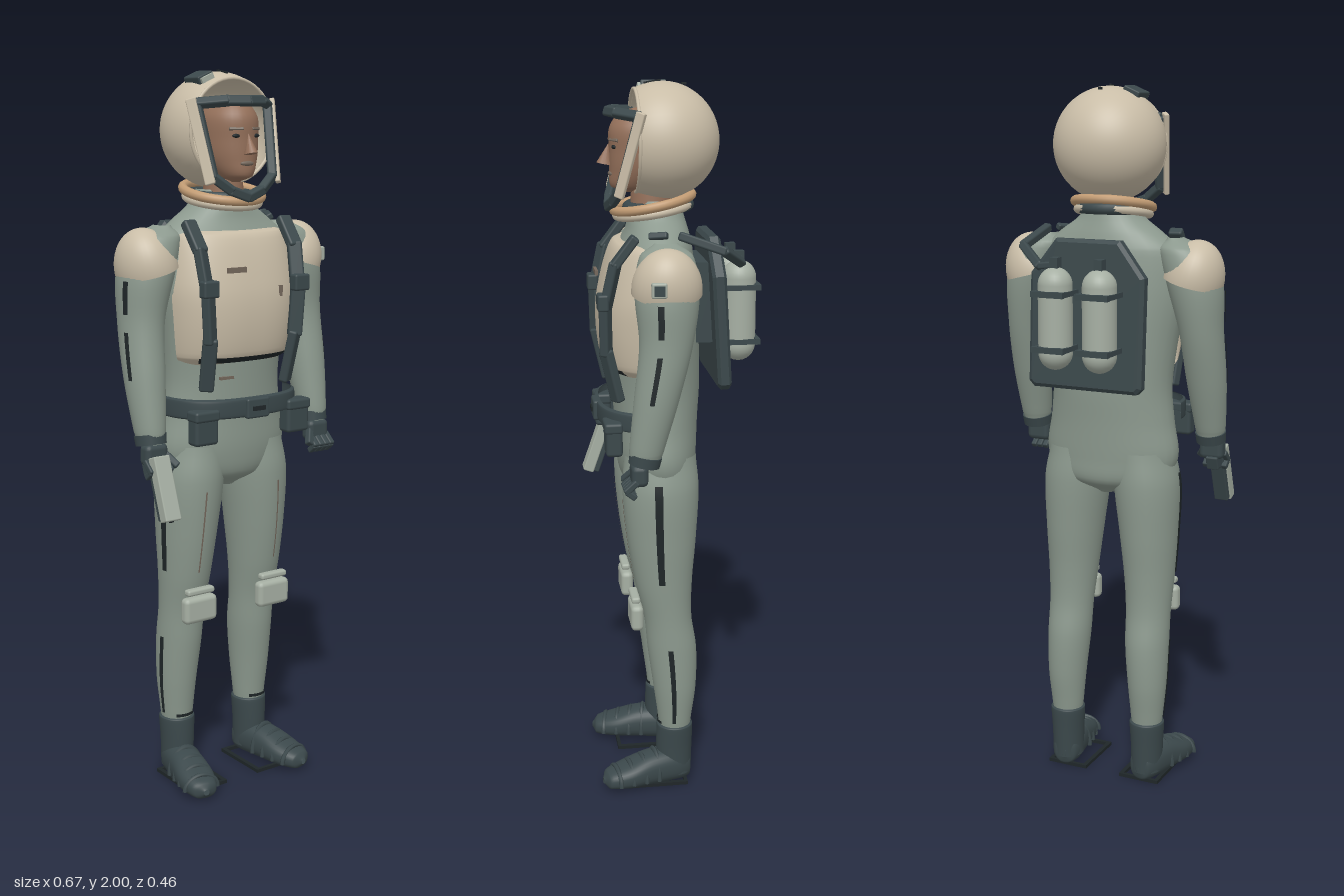
import * as THREE from 'three';
import { RoundedBoxGeometry } from 'three/addons/geometries/RoundedBoxGeometry.js';

const mat = (name, color, double) => {
  const m = new THREE.MeshStandardMaterial({ color });
  m.name = name;
  if (double) m.side = THREE.DoubleSide;
  return m;
};
const TAU = Math.PI * 2;

export function createModel() {
  const root = new THREE.Group();
  root.name = 'spacesuitFigure';
  const suit = mat('suitGreyGreen', 0x8c998e);
  const cream = mat('shellCream', 0xc9bda7, true);
  const dark = mat('gearDark', 0x3b484b, true);
  const skin = mat('skinBrown', 0x94705a);
  const tan = mat('collarTan', 0xc29c74);
  const light = mat('padLightGrey', 0xa6afa3);
  const black = mat('trimBlack', 0x1f2628, true);
  const seam = mat('seamBrown', 0x75685c, true);

  const add = (name, geo, m, x = 0, y = 0, z = 0) => {
    const mesh = new THREE.Mesh(geo, m);
    mesh.name = name;
    mesh.position.set(x, y, z);
    root.add(mesh);
    return mesh;
  };
  const box = (name, m, w, h, d, x, y, z) => add(name, new THREE.BoxGeometry(w, h, d), m, x, y, z);
  const soft = (name, m, w, h, d, x, y, z, r = 0.01) =>
    add(name, new RoundedBoxGeometry(w, h, d, 2, r), m, x, y, z);

  // straight bar between two points
  const bar = (name, m, a, b, w, d) => {
    const p = new THREE.Vector3(...a), q = new THREE.Vector3(...b), dir = q.clone().sub(p);
    const mesh = soft(name, m, w, dir.length() + w * 0.4, d, 0, 0, 0, Math.min(w, d) * 0.25);
    mesh.position.copy(p).add(q).multiplyScalar(0.5);
    mesh.quaternion.setFromUnitVectors(new THREE.Vector3(0, 1, 0), dir.normalize());
    return mesh;
  };
  const chain = (name, m, pts, w, d) => pts.slice(1).forEach((p, i) => bar(name, m, pts[i], p, w, d));

  // smooth skin through rings [y, centreX, centreZ, radiusX, radiusZ], top to bottom
  const loft = (rings, { a0 = 0, a1 = TAU, grow = 0, top = 9, bottom = -9, p = 2, seg = 32 } = {}) => {
    const c = new THREE.CatmullRomCurve3(rings.map(r => new THREE.Vector3(r[0], r[1], r[2])), false, 'centripetal');
    const n = rings.length - 1, rows = [], steps = n * 6;
    for (let i = 0; i <= steps; i++) {
      const t = i / steps, v = c.getPoint(t), k = Math.min(n - 1, Math.floor(t * n)), f = t * n - k;
      const cr = j => {
        const g = q => rings[Math.max(0, Math.min(n, q))][j];
        const A = g(k - 1), B = g(k), C = g(k + 1), D = g(k + 2);
        return B + 0.5 * f * (C - A + f * (2 * A - 5 * B + 4 * C - D + f * (3 * (B - C) + D - A)));
      };
      if (v.x <= top && v.x >= bottom)
        rows.push([v.x, v.y, v.z, Math.max(0.001, cr(3)) + grow, Math.max(0.001, cr(4)) + grow]);
    }
    const full = a1 - a0 > 6.28, cols = full ? seg : seg + 1, pos = [], idx = [];
    const pw = u => Math.sign(u) * Math.abs(u) ** (2 / p);
    for (const [y, x, z, rx, rz] of rows)
      for (let j = 0; j < cols; j++) {
        const a = a0 + (a1 - a0) * j / seg;
        pos.push(x + rx * pw(Math.cos(a)), y, z + rz * pw(Math.sin(a)));
      }
    for (let i = 0; i < rows.length - 1; i++)
      for (let j = 0; j < seg; j++) {
        const a = i * cols + j, b = i * cols + (j + 1) % cols;
        idx.push(a, b, a + cols, b, b + cols, a + cols);
      }
    const g = new THREE.BufferGeometry();
    g.setAttribute('position', new THREE.Float32BufferAttribute(pos, 3));
    g.setIndex(idx);
    g.computeVertexNormals();
    return g;
  };
  const side = (rings, s) => rings.map(([y, x, ...r]) => [y, x * s, ...r]);

  // torso
  add('torso', loft([[1.69, 0, .03, .065, .06], [1.645, 0, .035, .1, .075], [1.61, 0, .035, .15, .085],
    [1.565, 0, .04, .2, .1], [1.45, 0, .05, .215, .12], [1.3, 0, .045, .19, .125], [1.18, 0, .04, .178, .122],
    [1.08, 0, .04, .187, .116], [.98, 0, .04, .2, .112], [.91, 0, .035, .16, .1], [.87, 0, .035, .03, .05]]), suit);

  // chest shell with returned edges
  const chest = [[1.59, 0, .04, .15, .07], [1.575, 0, .045, .175, .11], [1.45, 0, .05, .2, .145],
    [1.35, 0, .05, .196, .153], [1.25, 0, .045, .182, .143], [1.225, 0, .045, .165, .11]];
  add('chestShell', loft(chest, { a0: .2, a1: Math.PI - .2, p: 2.5 }), cream);
  add('chestHem', loft(chest, { a0: .7, a1: Math.PI - .7, p: 2.5, grow: .005, top: 1.252, bottom: 1.23 }), black);
  box('chestSlot', seam, .06, .014, .008, -.06, 1.485, .197);
  box('chestTab', seam, .012, .03, .008, .09, 1.42, .19);
  box('waistTab', seam, .05, .008, .008, -.06, 1.19, .155);

  // belt with buckle
  const belt = [[1.14, 0, .04, .197, .158], [1.135, 0, .04, .204, .168], [1.09, 0, .04, .204, .168], [1.085, 0, .04, .197, .158]];
  add('belt', loft(belt, { a0: .05, a1: Math.PI - .05, p: 2.6 }), dark);
  soft('buckle', dark, .075, .055, .02, 0, 1.11, .208, .006);
  box('buckleSlot', black, .04, .012, .006, 0, 1.11, .219);

  const legRings = [[1.0, .1, .04, .085, .1], [.9, .11, .04, .094, .107], [.75, .118, .038, .083, .096],
    [.62, .122, .033, .072, .08], [.52, .124, .022, .065, .068], [.42, .126, .01, .063, .07],
    [.3, .13, .003, .056, .061], [.2, .13, .003, .047, .048], [.15, .13, .003, .042, .044]];
  const armRings = [[1.6, .19, .035, .02, .03], [1.57, .215, .037, .07, .07], [1.48, .246, .04, .077, .085],
    [1.35, .266, .045, .061, .071], [1.2, .274, .072, .055, .06], [1.06, .277, .1, .042, .046], [1.03, .277, .104, .036, .04]];

  for (const s of [1, -1]) {
    const n = s > 0 ? 'left' : 'right';
    const out = (a, w) => s > 0 ? { a0: a - w, a1: a + w } : { a0: Math.PI - a - w, a1: Math.PI - a + w };

    // legs, trim strips and knee pads
    const leg = side(legRings, s);
    add(n + 'Leg', loft(leg), suit);
    for (const [top, bottom] of [[.94, .63], [.45, .2]])
      add(n + 'LegStripe', loft(leg, { ...out(.15, .1), seg: 4, grow: .004, top, bottom }), black);
    add(n + 'LegSeam', loft(leg, { ...out(1.45, .025), seg: 2, grow: .003, top: .88, bottom: .64 }), seam);
    add(n + 'AnkleBand', loft(leg, { ...out(1.57, .6), seg: 12, grow: .004, top: .21, bottom: .185 }), black);
    soft(n + 'KneePad', light, .108, .075, .035, s * .128, .535, .115, .014);
    soft(n + 'KneePadRim', light, .09, .018, .025, s * .128, .588, .118, .007);

    // boots: shaft, foot, ribs and sole frame
    add(n + 'BootShaft', loft(side([[.185, .13, .003, .044, .046], [.18, .13, .003, .051, .052],
      [.11, .13, .005, .047, .052], [.03, .13, .005, .045, .05]], s)), dark);
    const foot = add(n + 'Foot', loft([[.222, 0, -.03, .008, .008], [.208, 0, -.032, .036, .024], [.15, 0, -.04, .053, .036],
      [.08, 0, -.05, .05, .048], [0, 0, -.052, .046, .05], [-.035, 0, -.048, .032, .04], [-.045, 0, -.045, .005, .01]],
      { p: 2.4 }), dark, s * .13, 0, 0);
    foot.rotation.set(Math.PI / 2, 0, -s * .2);
    for (let i = 0; i < 4; i++) {
      const rib = add(n + 'BootRib', new THREE.TorusGeometry(.05, .007, 6, 20, Math.PI), dark,
        s * (.142 + i * .008), .025, .065 + i * .038);
      rib.scale.y = 1.5 - i * .22;
      rib.rotation.y = s * .2;
    }
    const sole = new THREE.Shape([[-.062, -.05], [.062, -.05], [.062, .13], [-.062, .13]].map(q => new THREE.Vector2(...q)));
    sole.holes.push(new THREE.Path([[-.05, -.04], [-.05, .12], [.05, .12], [.05, -.04]].map(q => new THREE.Vector2(...q))));
    add(n + 'SoleFrame', new THREE.ExtrudeGeometry(sole, { depth: .01, bevelEnabled: false }), black, s * .117, .01, .02)
      .rotation.x = Math.PI / 2;

    // arms, shoulder caps and trim
    const arm = side(armRings, s);
    add(n + 'Arm', loft(arm), suit);
    const cap = add(n + 'ShoulderCap', new THREE.SphereGeometry(1, 32, 16, 0, TAU, 0, Math.PI * .52), cream, s * .243, 1.485, .04);
    cap.scale.set(.083, .112, .093);
    cap.rotation.z = -s * .25;
    for (const [top, bottom] of [[1.46, 1.37], [1.33, 1.2]])
      add(n + 'ArmStripe', loft(arm, { ...out(.3, .1), seg: 4, grow: .004, top, bottom }), black);
    const cuff = add(n + 'Cuff', new THREE.CylinderGeometry(.044, .042, .028, 24), dark, s * .277, 1.038, .104);
    cuff.rotation.x = -.2;

    // gloved hands
    soft(n + 'Palm', dark, .07, .06, .045, s * .277, 1.0, .12, .015);
    for (let i = 0; i < 4; i++) {
      const x = s * (.25 + i * .019);
      bar(n + 'Finger', dark, [x, .985, .13], [x, .96, .158], .018, .018);
      bar(n + 'FingerTip', dark, [x, .96, .155], [x, .944, .135], .017, .017);
    }
    bar(n + 'Thumb', dark, [s * .25, 1.0, .13], [s * .228, .97, .155], .02, .02);

    // suspenders and belt pouches
    chain(n + 'Suspender', dark, [[s * .158, 1.605, .115], [s * .157, 1.54, .165], [s * .15, 1.42, .192],
      [s * .142, 1.3, .19], [s * .134, 1.17, .16]], .04, .026);
    soft(n + 'SuspenderClip', dark, .05, .045, .03, s * .151, 1.44, .199, .006);
    soft(n + 'BeltPouch', dark, .075, .09, .045, s * .155, 1.065, .175, .01);
    soft(n + 'PouchFlap', dark, .08, .03, .05, s * .155, 1.1, .177, .008);

    // air tanks
    const x = s * .066;
    add(n + 'Tank', new THREE.CapsuleGeometry(.047, .185, 8, 28), light, x, 1.39, -.183);
    box(n + 'TankValve', dark, .024, .04, .028, x, 1.535, -.181);
    for (const y of [1.46, 1.31]) {
      box(n + 'TankBar', dark, .096, .016, .014, x, y, -.229);
      for (const e of [-1, 1]) box(n + 'TankBracket', dark, .008, .014, .09, x + e * .044, y, -.185);
    }

    // visor side plates and ears
    bar(n + 'VisorPlate', cream, [s * .134, 1.925, .09], [s * .112, 1.71, .148], .014, .028);
    add(n + 'Ear', new THREE.SphereGeometry(.02, 12, 10), skin, s * .077, 1.82, .07).scale.set(.4, 1.2, .8);
    add(n + 'Eye', new THREE.SphereGeometry(.011, 12, 8), black, s * .031, 1.832, .152).scale.set(1.2, .5, .6);
    bar(n + 'Brow', seam, [s * .015, 1.85, .16], [s * .047, 1.85, .144], .008, .008);
  }

  // arm device and sidearm
  soft('armDevice', light, .03, .04, .04, .315, 1.5, .07, .005);
  box('armDeviceFace', dark, .006, .026, .028, .332, 1.5, .07);
  const gun = new THREE.Group();
  gun.name = 'sidearm';
  gun.position.set(-.283, .915, .172);
  gun.rotation.x = -.34;
  const part = (name, m, w, h, d, y, z) => {
    const k = new THREE.Mesh(new RoundedBoxGeometry(w, h, d, 1, .004), m);
    k.name = name;
    k.position.set(0, y, z);
    gun.add(k);
  };
  part('sidearmSlide', light, .05, .175, .032, 0, .01);
  part('sidearmFrame', dark, .042, .165, .02, 0, -.012);
  part('sidearmGrip', dark, .036, .04, .05, .065, -.03);
  part('sidearmMuzzle', black, .012, .006, .012, -.088, .01);
  root.add(gun);

  // backpack plate with chamfered top, leaning slightly
  const pack = new THREE.Shape([[-.15, -.2], [.15, -.2], [.16, -.19], [.16, .1], [.09, .19], [-.09, .19], [-.16, .1], [-.16, -.19]]
    .map(q => new THREE.Vector2(...q)));
  const plate = add('backpackPlate', new THREE.ExtrudeGeometry(pack,
    { depth: .022, bevelEnabled: true, bevelSize: .01, bevelThickness: .008, bevelSegments: 1 }), dark, 0, 1.4, -.13);
  plate.rotation.x = .06;
  box('backpackMount', dark, .2, .22, .06, 0, 1.42, -.09);
  chain('airHose', dark, [[.115, 1.53, -.18], [.195, 1.575, -.12], [.18, 1.615, -.005]], .024, .024);
  bar('hoseFitting', dark, [.165, 1.615, .03], [.145, 1.61, .07], .018, .018);
  bar('hoseInlet', dark, [.07, 1.535, -.181], [.115, 1.53, -.18], .018, .018);

  // head
  add('head', loft([[1.935, 0, .065, .008, .01], [1.922, 0, .067, .045, .062], [1.88, 0, .07, .073, .091],
    [1.82, 0, .07, .075, .092], [1.77, 0, .08, .067, .082], [1.725, 0, .1, .042, .058], [1.71, 0, .1, .01, .02]]), skin);
  add('neck', new THREE.CylinderGeometry(.05, .058, .13, 24), skin, 0, 1.71, .05);
  const nose = add('nose', new THREE.ConeGeometry(.017, .055, 12), skin, 0, 1.812, .169);
  nose.scale.z = 1.3;
  nose.rotation.x = -.2;
  add('lips', new THREE.SphereGeometry(.022, 14, 8), seam, 0, 1.76, .157).scale.set(1, .35, .4);

  // helmet shell open at the face
  const shell = new THREE.SphereGeometry(.155, 48, 32, 0, TAU, 1.08, Math.PI - 1.08);
  add('helmetShell', shell.rotateX(Math.PI / 2), cream, 0, 1.845, .02);
  add('helmetRim', new THREE.TorusGeometry(.136, .005, 8, 48), cream, 0, 1.845, .093);

  // visor frame
  for (const s of [1, -1])
    chain('visorFrame', dark, [[0, 1.922, .165], [s * .055, 1.922, .148], [s * .116, 1.915, .092],
      [s * .097, 1.725, .142], [s * .05, 1.69, .158], [0, 1.672, .166]], .026, .024);

  // helmet fittings
  const lamp = soft('helmetLamp', dark, .05, .022, .07, -.07, 1.982, .035, .004);
  lamp.rotation.z = .4;
  box('helmetLampLens', light, .04, .014, .008, -.07, 1.98, .074).rotation.z = .4;
  box('helmetVent', black, .006, .006, .045, 0, 1.998, .045).rotation.x = .16;
  box('helmetStud', black, .007, .006, .014, 0, 1.993, -.04);

  // neck rings
  const ring = (name, m, r, t, y, z, tilt) => {
    add(name, new THREE.TorusGeometry(r, t, 10, 40), m, 0, y, z).rotation.x = Math.PI / 2 + tilt;
  };
  ring('helmetCollar', tan, .108, .013, 1.682, .045, .2);
  ring('lowerCollar', cream, .1, .012, 1.662, .045, .16);
  ring('neckSeal', dark, .082, .016, 1.672, .03, .05);
  return root;
}
